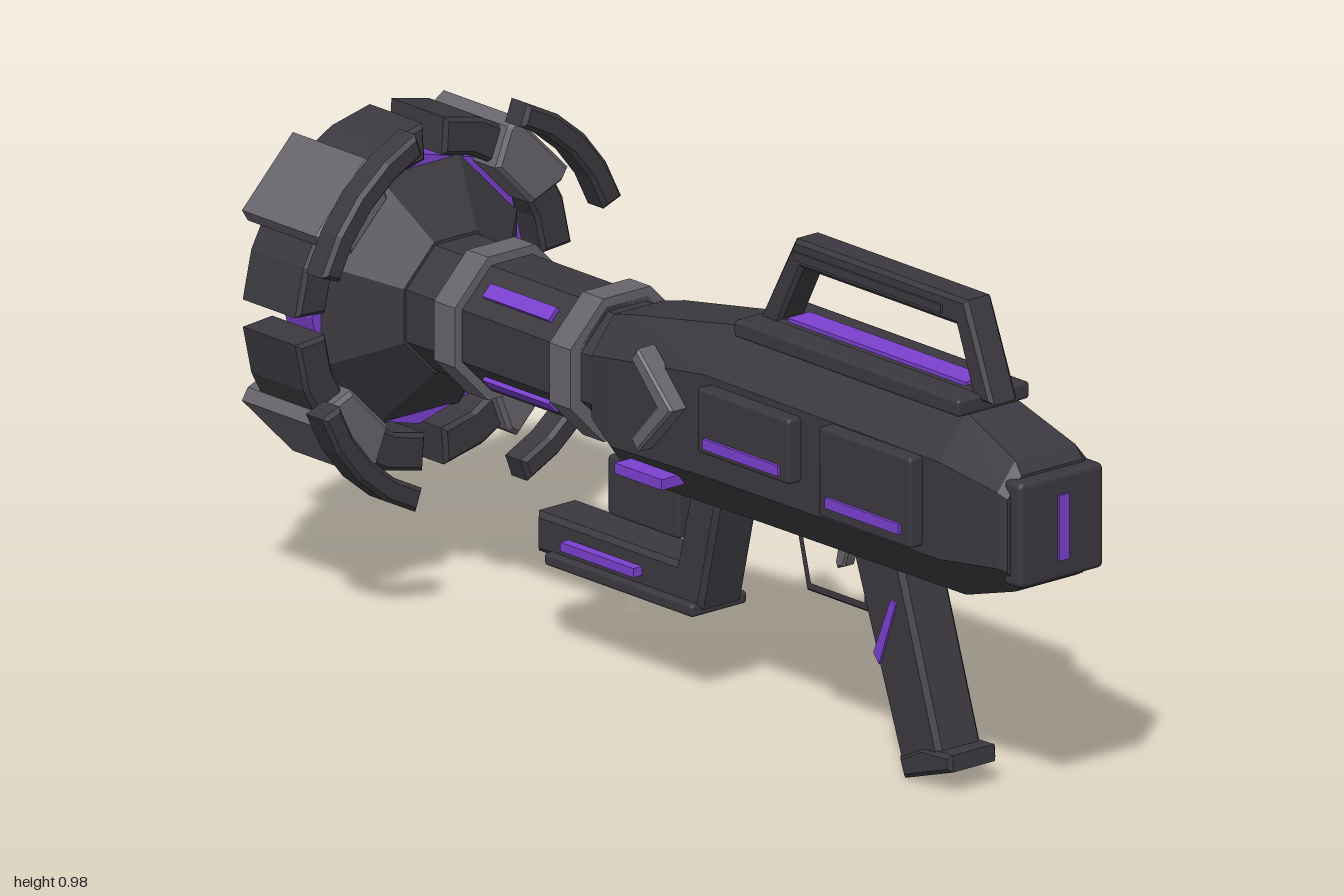
import * as THREE from 'three';
import { RoundedBoxGeometry } from 'three/addons/geometries/RoundedBoxGeometry.js';

const material = (name, color) => {
  const m = new THREE.MeshStandardMaterial({ color });
  m.name = name;
  return m;
};

// Gives every face its own flat normal
const facet = (g) => {
  const out = g.index ? g.toNonIndexed() : g;
  out.computeVertexNormals();
  return out;
};

const toShape = (pts) => new THREE.Shape(pts.map(([a, b]) => new THREE.Vector2(a, b)));

// Extrudes an outline, centred on its depth, with a small bevel that keeps the size
function slab(pts, depth, bevel = 0.008, hole = null) {
  const shape = toShape(pts);
  if (hole) shape.holes.push(toShape(hole));
  const g = new THREE.ExtrudeGeometry(shape, {
    depth: depth - 2 * bevel, bevelEnabled: bevel > 0, bevelThickness: bevel,
    bevelSize: bevel, bevelOffset: -bevel, bevelSegments: 1,
  });
  return facet(g.translate(0, 0, -(depth - 2 * bevel) / 2));
}

// Outline given as [z, y], extruded across x
const sideSlab = (pts, width, bevel, hole) => slab(pts, width, bevel, hole).rotateY(-Math.PI / 2);

// Box given by its ranges
function block(x0, x1, y0, y1, z0, z1, r = 0.008) {
  const size = [x1 - x0, y1 - y0, z1 - z0];
  const g = r ? new RoundedBoxGeometry(...size, 1, r) : new THREE.BoxGeometry(...size);
  return g.translate((x0 + x1) / 2, (y0 + y1) / 2, (z0 + z1) / 2);
}

// Annular sector outline
function sector(r0, r1, a0, a1, n) {
  const pts = [];
  const at = (r, t) => pts.push([r * Math.cos(t), r * Math.sin(t)]);
  for (let i = 0; i <= n; i++) at(r1, a0 + ((a1 - a0) * i) / n);
  for (let i = n; i >= 0; i--) at(r0, a0 + ((a1 - a0) * i) / n);
  return pts;
}

// Octagonal tube along z with flat sides; apothems at the front and rear ends
function octagon(aFront, aRear, zFront, zRear) {
  const k = 1 / Math.cos(Math.PI / 8);
  const g = new THREE.CylinderGeometry(aFront * k, aRear * k, zFront - zRear, 8);
  g.rotateY(Math.PI / 8).rotateX(Math.PI / 2).translate(0, 0.6, (zFront + zRear) / 2);
  return facet(g);
}

// Loft of chamfered sections [z, halfWidth, bottom, top, chamferX, chamferY], running from +z to -z
function loft(sections) {
  const pos = [], idx = [];
  for (const [z, w, b, t, cx, cy] of sections) {
    const ring = [[w, b + cy], [w, t - cy], [w - cx, t], [cx - w, t],
      [-w, t - cy], [-w, b + cy], [cx - w, b], [w - cx, b]];
    for (const [x, y] of ring) pos.push(x, y, z);
  }
  const last = (sections.length - 1) * 8;
  for (let s = 0; s < last; s += 8) {
    for (let i = 0; i < 8; i++) {
      const j = (i + 1) % 8;
      idx.push(s + i, s + 8 + i, s + j, s + j, s + 8 + i, s + 8 + j);
    }
  }
  for (let i = 1; i < 7; i++) idx.push(0, i, i + 1, last, last + i + 1, last + i);
  const g = new THREE.BufferGeometry();
  g.setAttribute('position', new THREE.Float32BufferAttribute(pos, 3));
  g.setIndex(idx);
  return facet(g);
}

export function createModel() {
  const model = new THREE.Group();
  model.name = 'launcher';
  const dark = material('dark metal', 0x3b393f);
  const grey = material('grey metal', 0x67646b);
  const glow = material('purple glow', 0x7b40cf);
  const add = (name, geometry, mat) => {
    const mesh = new THREE.Mesh(geometry, mat);
    mesh.name = name;
    model.add(mesh);
    return mesh;
  };

  // Main body and end cap
  add('body', loft([
    [0.965, 0.112, 0.475, 0.7, 0.035, 0.04],
    [0.945, 0.12, 0.465, 0.725, 0.045, 0.055],
    [0.79, 0.13, 0.417, 0.78, 0.068, 0.085],
    [0.12, 0.13, 0.413, 0.785, 0.068, 0.085],
    [-0.16, 0.12, 0.41, 0.735, 0.055, 0.075],
    [-0.22, 0.115, 0.455, 0.72, 0.055, 0.07],
  ]), dark);
  add('endCap', block(-0.105, 0.105, 0.485, 0.695, 0.94, 0.995, 0.012), dark);
  add('endCapLight', block(-0.012, 0.012, 0.525, 0.655, 0.991, 1, 0), glow);

  // Carry handle
  add('handleBase', block(-0.09, 0.09, 0.775, 0.81, 0.155, 0.8), dark);
  add('handle', sideSlab(
    [[0.83, 0.795], [0.755, 0.985], [0.265, 0.985], [0.16, 0.795]], 0.068, 0.008,
    [[0.77, 0.815], [0.725, 0.93], [0.285, 0.93], [0.225, 0.815]]), dark);
  add('handleLight', block(-0.028, 0.028, 0.812, 0.821, 0.24, 0.75, 0), glow);
  add('handleTopRib', block(-0.039, 0.039, 0.945, 0.962, 0.27, 0.69, 0), dark);

  // Side panels, lights and chevrons on both sides
  for (const s of [-1, 1]) {
    const side = (name, x0, x1, y0, y1, z0, z1, mat, r) =>
      add(name, block(Math.min(s * x0, s * x1), Math.max(s * x0, s * x1), y0, y1, z0, z1, r), mat);
    side('frontPanel', 0.11, 0.16, 0.515, 0.695, 0.478, 0.742, dark);
    side('frontPanelLight', 0.159, 0.167, 0.54, 0.561, 0.505, 0.715, glow, 0);
    side('rearPanel', 0.11, 0.16, 0.555, 0.685, 0.13, 0.395, dark);
    side('rearPanelLight', 0.159, 0.167, 0.569, 0.59, 0.155, 0.37, glow, 0);
    side('lowerBodyLight', 0.09, 0.15, 0.45, 0.471, -0.115, 0.02, glow, 0);
    side('foregripLight', 0.05, 0.076, 0.219, 0.237, -0.355, -0.145, glow, 0);
    const chevron = sideSlab([[0.065, 0.62], [-0.035, 0.72], [-0.055, 0.697], [0.018, 0.618],
      [-0.055, 0.538], [-0.035, 0.515]], 0.05, 0.005);
    add('chevron', chevron.translate(s * 0.14, 0, 0), grey);
    const gripLight = sideSlab([[0.585, 0.345], [0.57, 0.35], [0.522, 0.235], [0.538, 0.215]], 0.008, 0);
    add('gripLight', gripLight.translate(s * 0.056, 0, 0), glow);
  }

  // Pistol grip, trigger and guard
  add('grip', sideSlab([[0.59, 0.43], [0.71, 0.06], [0.6, 0.01], [0.45, 0.43]], 0.11, 0.01), dark);
  add('gripFoot', sideSlab([[0.74, 0.083], [0.742, 0.05], [0.605, 0.005], [0.59, 0.045],
    [0.66, 0.08]], 0.12, 0.008), dark);
  add('triggerGuard', sideSlab([[0.475, 0.43], [0.465, 0.29], [0.285, 0.29], [0.25, 0.43]], 0.04, 0.004,
    [[0.46, 0.42], [0.455, 0.303], [0.295, 0.303], [0.265, 0.42]]), dark);
  add('trigger', sideSlab([[0.41, 0.43], [0.385, 0.36], [0.365, 0.352], [0.36, 0.365],
    [0.375, 0.43]], 0.03, 0.004), grey);

  // Foregrip
  add('foregrip', sideSlab([[0.075, 0.43], [0.02, 0.19], [-0.45, 0.19], [-0.45, 0.27],
    [-0.05, 0.27], [-0.01, 0.43]], 0.11, 0.01), dark);
  add('foregripRail', block(-0.07, 0.07, 0.176, 0.202, -0.41, 0.015), dark);
  add('underBarrelBlock', block(-0.055, 0.055, 0.315, 0.435, -0.245, -0.04), dark);

  // Barrel with clamps and diagonal lights
  add('barrelNeck', octagon(0.115, 0.115, -0.15, -0.28), dark);
  add('barrel', octagon(0.124, 0.124, -0.25, -0.77), dark);
  for (const z of [-0.28, -0.61]) add('barrelClamp', octagon(0.142, 0.142, z + 0.03, z - 0.03), grey);
  for (let i = 0; i < 4; i++) {
    const strip = new THREE.BoxGeometry(0.012, 0.03, 0.19).translate(0.127, 0, 0);
    strip.rotateZ(Math.PI / 4 + (i * Math.PI) / 2).translate(0, 0.6, -0.45);
    add('barrelLight', strip, glow);
  }

  // Flared muzzle with a glowing ring and a domed core
  add('muzzleCone', octagon(0.13, 0.25, -0.74, -0.85), dark);
  const ngon = (r) => Array.from({ length: 12 }, (_, i) =>
    [r * Math.cos((i * Math.PI) / 6), r * Math.sin((i * Math.PI) / 6)]);
  add('muzzleRing', slab(ngon(0.268), 0.08, 0, ngon(0.178)).translate(0, 0.6, -0.885), glow);
  const dome = new THREE.LatheGeometry([[0.178, 0], [0.15, 0.03], [0.09, 0.055], [0, 0.065]]
    .map(([r, h]) => new THREE.Vector2(r, h)), 12);
  add('muzzleCore', facet(dome.rotateX(-Math.PI / 2).translate(0, 0.6, -0.853)), dark);

  // Four quarters of armour around the muzzle
  const rad = THREE.MathUtils.degToRad;
  const quarters = [
    ['muzzleArmour', sector(0.272, 0.346, rad(4.5), rad(85.5), 5), -0.88, 0.165, dark],
    ['muzzleClamp', [[0.255, -0.064], [0.33, -0.096], [0.357, -0.09], [0.357, 0.09],
      [0.33, 0.096], [0.255, 0.064]], -0.886, 0.224, grey],
    ['outerFin', sector(0.353, 0.4, rad(20.5), rad(69.5), 4), -0.718, 0.06, dark],
  ];
  for (const [name, outline, z, depth, mat] of quarters) {
    for (let i = 0; i < 4; i++) {
      const turn = (i * Math.PI) / 2 + (name === 'muzzleClamp' ? Math.PI / 4 : 0);
      add(name, slab(outline, depth, 0.008).rotateZ(turn).translate(0, 0.6, z), mat);
    }
  }
  return model;
}
